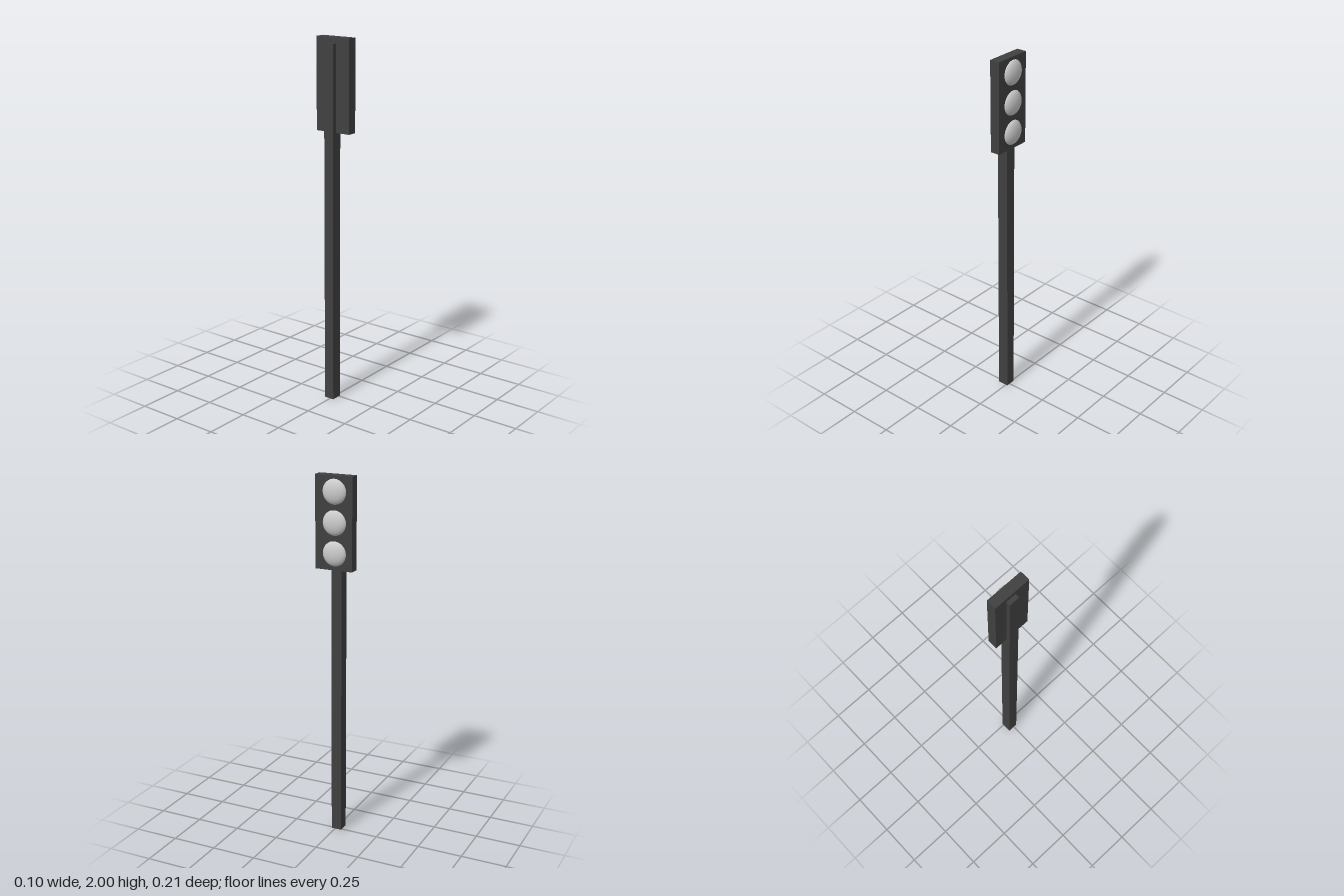
import * as THREE from 'three';

export function createModel() {
  const group = new THREE.Group();
  const dark = new THREE.MeshStandardMaterial({ color: 0x404040 });
  const grey = new THREE.MeshStandardMaterial({ color: 0xcccccc });

  // Box given by its lower and upper corners
  function addBox(name, [x0, y0, z0], [x1, y1, z1]) {
    const mesh = new THREE.Mesh(new THREE.BoxGeometry(x1 - x0, y1 - y0, z1 - z0), dark);
    mesh.name = name;
    mesh.position.set((x0 + x1) / 2, (y0 + y1) / 2, (z0 + z1) / 2);
    group.add(mesh);
  }

  // Square post and the signal housing it carries
  addBox('post', [-0.052, 0, -0.037], [0.01, 1.97, 0.021]);
  addBox('housing', [-0.028, 1.507, -0.105], [0.027, 2, 0.105]);

  // Three flattened domes on the +x face, sunk slightly into the housing
  const lensGeometry = new THREE.SphereGeometry(1, 32, 16);
  ['topLens', 'middleLens', 'bottomLens'].forEach((name, i) => {
    const lens = new THREE.Mesh(lensGeometry, grey);
    lens.name = name;
    lens.scale.set(0.032, 0.068, 0.068);
    lens.position.set(0.02, 1.917 - i * 0.161, -0.004);
    group.add(lens);
  });

  return group;
}
